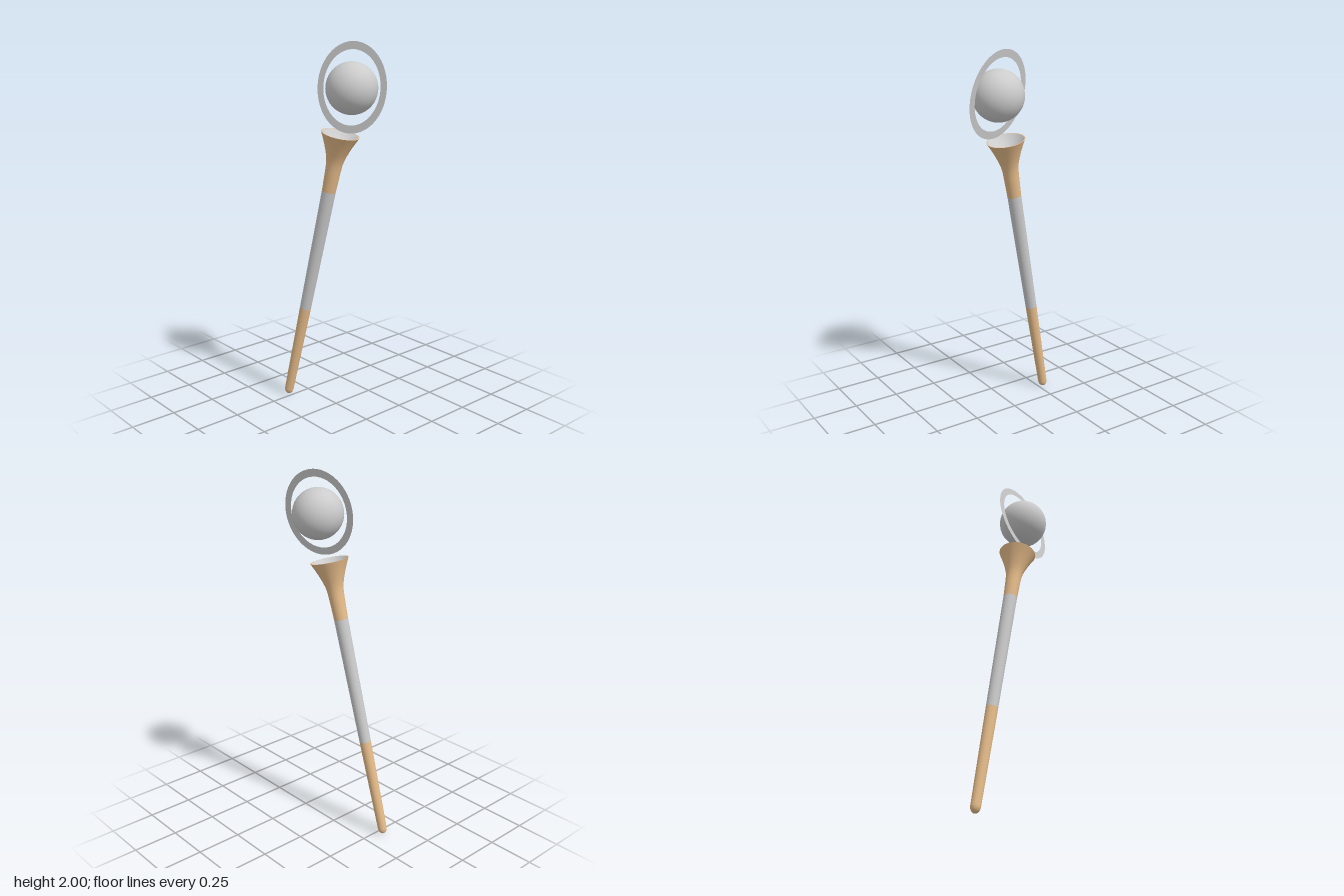
import * as THREE from 'three';

export function createModel() {
  const model = new THREE.Group();
  const wood = new THREE.MeshStandardMaterial({ color: 0xe6bc8a });
  const grey = new THREE.MeshStandardMaterial({ color: 0xcccccc, side: THREE.DoubleSide });

  // Slanted staff: local y runs from the rounded foot to the cup rim
  const foot = new THREE.Vector3(-0.283, 0.004, 0.12);
  const rim = new THREE.Vector3(0.047, 1.535, 0.012);
  const axis = rim.clone().sub(foot);
  const L = axis.length();
  const staff = new THREE.Group();
  staff.name = 'staff';
  staff.position.copy(foot);
  staff.quaternion.setFromUnitVectors(new THREE.Vector3(0, 1, 0), axis.normalize());
  model.add(staff);

  const turned = (name, profile, material) => {
    const points = profile.map(([r, y]) => new THREE.Vector2(r, y));
    const mesh = new THREE.Mesh(new THREE.LatheGeometry(points, 48), material);
    mesh.name = name;
    staff.add(mesh);
  };

  // Rounded lower end, then the grey grip
  const tip = [];
  for (let i = 0; i <= 8; i++) {
    const a = (i / 8) * Math.PI / 2;
    tip.push([0.025 * Math.sin(a), 0.034 * (1 - Math.cos(a))]);
  }
  turned('lowerHandle', [...tip, [0.031, 0.56]], wood);
  turned('grip', [[0.031, 0.56], [0.037, 1.255]], grey);

  // Flared cup on top, with a thin lip and a shallow bowl inside
  turned('flaredCup', [[0.037, 1.255], [0.041, 1.37], [0.043, 1.405], [0.048, 1.435],
    [0.057, 1.465], [0.071, 1.503], [0.086, 1.538], [0.101, L]], wood);
  turned('cupLip', [[0.101, L], [0.096, L]], wood);
  const bowl = [];
  for (let i = 0; i <= 10; i++) {
    const r = 1 - i / 10;
    bowl.push([0.096 * r, L - 0.05 * (1 - r * r)]);
  }
  turned('cupBowl', bowl, grey);

  // Floating ball
  const ball = new THREE.Mesh(new THREE.SphereGeometry(0.133, 48, 32), grey);
  ball.name = 'ball';
  ball.position.set(0.106, 1.77, -0.012);
  model.add(ball);

  // Flat, slightly oval ring tilted around the ball
  const long = new THREE.Vector3(-0.0704, 0.2179, -0.018);
  const short = new THREE.Vector3(0.1847, 0.0596, -0.0629);
  const normal = short.clone().cross(long).normalize();
  const ringGeometry = new THREE.RingGeometry(0.825, 1, 96);
  ringGeometry.applyMatrix4(new THREE.Matrix4().makeBasis(short, long, normal));
  const ring = new THREE.Mesh(ringGeometry, grey);
  ring.name = 'ring';
  ring.position.set(0.105, 1.774, -0.01);
  model.add(ring);

  return model;
}
